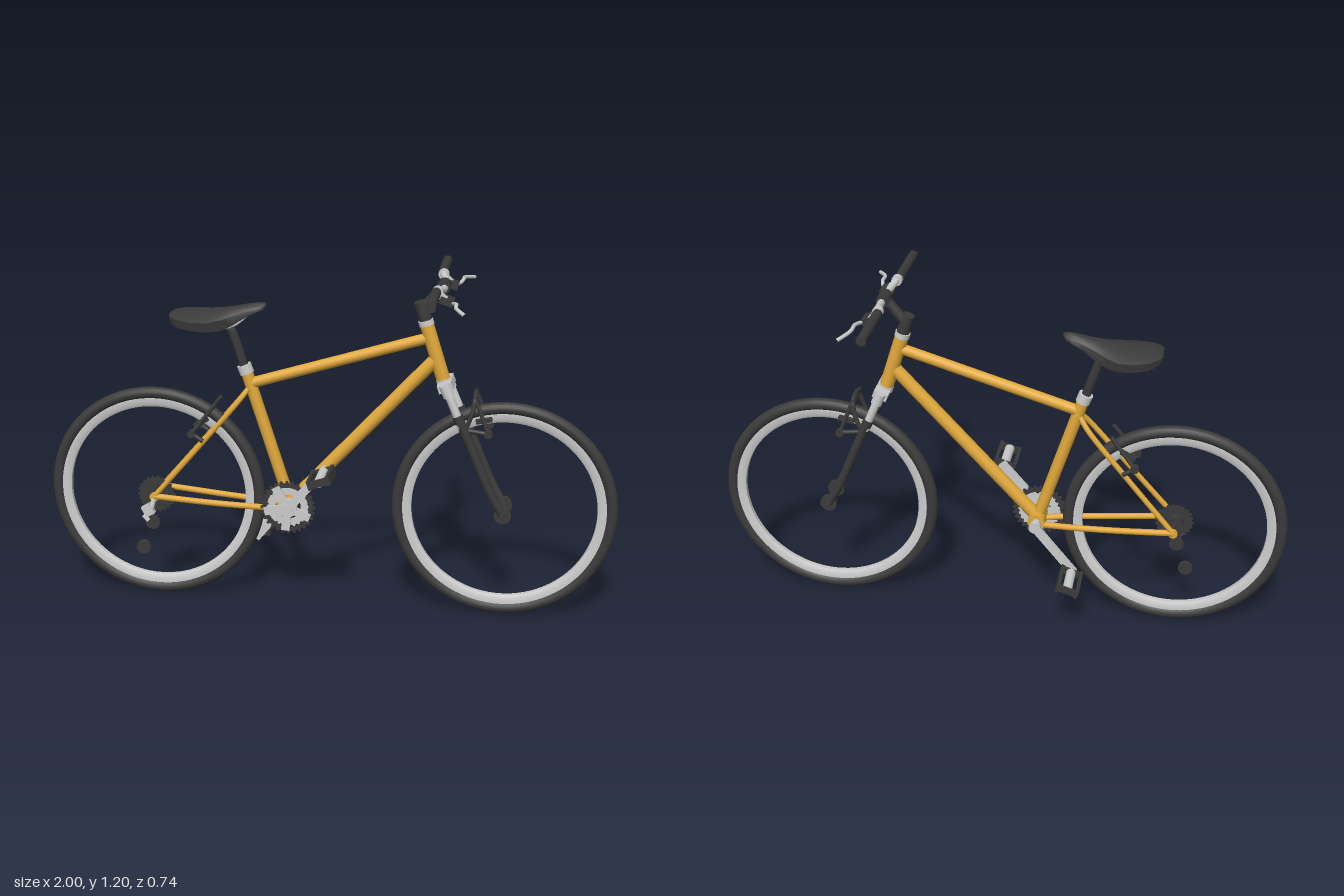
import * as THREE from 'three';
import { mergeVertices, toCreasedNormals } from 'three/addons/utils/BufferGeometryUtils.js';

const V = (x, y, z) => new THREE.Vector3(x, y, z);
const mat = (color) => new THREE.MeshStandardMaterial({ color });

export function createModel() {
  const root = new THREE.Group();
  const gold = mat(0xe0a83a), dark = mat(0x3a3a3a), grey = mat(0xcccccc);

  const add = (name, geo, m, parent = root) => {
    const mesh = new THREE.Mesh(geo, m);
    mesh.name = name;
    parent.add(mesh);
    return mesh;
  };
  // Straight round tube between two points
  const rod = (name, a, b, r, m, r2 = r, parent = root) => {
    const mesh = add(name, new THREE.CylinderGeometry(r2, r, a.distanceTo(b), 20), m, parent);
    mesh.position.copy(a).add(b).multiplyScalar(0.5);
    mesh.quaternion.setFromUnitVectors(V(0, 1, 0), b.clone().sub(a).normalize());
    return mesh;
  };
  const bend = (name, pts, r, m, parent = root) =>
    add(name, new THREE.TubeGeometry(new THREE.CatmullRomCurve3(pts, false, 'centripetal'), 32, r, 10), m, parent);
  const box = (name, w, h, d, x, y, z, m, tilt = 0, parent = root) => {
    const mesh = add(name, new THREE.BoxGeometry(w, h, d), m, parent);
    mesh.position.set(x, y, z);
    mesh.rotation.z = tilt;
    return mesh;
  };
  // Disc lying in the xy plane
  const disc = (name, x, y, z, r, t, m) => rod(name, V(x, y, z - t / 2), V(x, y, z + t / 2), r, m);
  // Toothed ring with a bore, thickness along z
  const gear = (name, x, y, z, r, tooth, teeth, bore, t, m) => {
    const s = new THREE.Shape();
    for (let i = 0; i < teeth * 4; i++) {
      const a = (i / (teeth * 4)) * Math.PI * 2, q = i % 4 < 2 ? r : r - tooth;
      s[i ? 'lineTo' : 'moveTo'](q * Math.cos(a), q * Math.sin(a));
    }
    s.holes.push(new THREE.Path().absarc(0, 0, bore, 0, Math.PI * 2, true));
    add(name, new THREE.ExtrudeGeometry(s, { depth: t, bevelEnabled: false, curveSegments: 24 }), m)
      .position.set(x, y, z - t / 2);
  };

  // Wheels
  const rimProfile = [[0.319, -0.008], [0.330, -0.014], [0.350, -0.014], [0.350, 0.014], [0.330, 0.014], [0.319, 0.008], [0.319, -0.008]]
    .map(([r, h]) => new THREE.Vector2(r, h));
  for (const [side, x] of [['rear', -0.612], ['front', 0.612]]) {
    add(side + 'Tire', new THREE.TorusGeometry(0.367, 0.021, 16, 96), dark).position.set(x, 0.39, 0);
    const rim = add(side + 'Rim', toCreasedNormals(new THREE.LatheGeometry(rimProfile, 96), 0.5), grey);
    rim.position.set(x, 0.39, 0);
    rim.rotation.x = Math.PI / 2;
    rod(side + 'Axle', V(x, 0.39, -0.06), V(x, 0.39, 0.06), 0.009, dark);
  }

  // Frame
  const bb = V(-0.135, 0.375, 0);
  rod('seatTube', bb, V(-0.285, 0.855, 0), 0.021, gold);
  rod('topTube', V(-0.272, 0.806, 0), V(0.337, 0.99, 0), 0.019, gold);
  rod('downTube', bb, V(0.362, 0.915, 0), 0.023, gold);
  rod('headTube', V(0.392, 0.85, 0), V(0.333, 1.035, 0), 0.024, gold);
  rod('bottomBracket', V(bb.x, bb.y, -0.042), V(bb.x, bb.y, 0.042), 0.03, gold);
  rod('headsetTop', V(0.333, 1.035, 0), V(0.328, 1.052, 0), 0.026, grey);
  rod('headsetBottom', V(0.398, 0.832, 0), V(0.392, 0.852, 0), 0.026, grey);
  for (const s of [-1, 1]) {
    bend('seatStay', [V(-0.275, 0.79, s * 0.015), V(-0.31, 0.745, s * 0.034), V(-0.45, 0.58, s * 0.047), V(-0.612, 0.392, s * 0.058)], 0.0095, gold);
    bend('chainStay', [V(-0.14, 0.358, s * 0.022), V(-0.24, 0.365, s * 0.036), V(-0.4, 0.375, s * 0.048), V(-0.612, 0.392, s * 0.058)], 0.011, gold);
    disc('rearDropout', -0.612, 0.39, s * 0.058, 0.016, 0.012, gold);
  }

  // Seat post and clamp
  rod('seatClamp', V(-0.281, 0.842, 0), V(-0.292, 0.872, 0), 0.025, grey);
  bend('seatPost', [V(-0.287, 0.855, 0), V(-0.322, 0.965, 0), V(-0.332, 0.99, 0), V(-0.352, 1.01, 0)], 0.016, dark);
  box('saddleClamp', 0.06, 0.025, 0.05, -0.355, 1.015, 0, dark, 0.1);
  for (const s of [-1, 1])
    bend('saddleRail', [V(-0.5, 1.025, s * 0.04), V(-0.42, 1.008, s * 0.025), V(-0.33, 1.01, s * 0.022), V(-0.25, 1.07, s * 0.008)], 0.005, grey);

  // Saddle: arched cross-sections [x, half width, top, edge, bottom]
  const stations = [
    [-0.541, 0.035, 1.05, 1.045, 1.036], [-0.53, 0.06, 1.057, 1.043, 1.022], [-0.5, 0.084, 1.062, 1.04, 1.012],
    [-0.45, 0.096, 1.063, 1.036, 1.006], [-0.4, 0.09, 1.066, 1.035, 1.002], [-0.36, 0.068, 1.07, 1.04, 1.002],
    [-0.32, 0.045, 1.077, 1.05, 1.018], [-0.28, 0.031, 1.085, 1.063, 1.043], [-0.24, 0.025, 1.092, 1.075, 1.062],
    [-0.22, 0.018, 1.093, 1.081, 1.07], [-0.211, 0.008, 1.09, 1.084, 1.077]];
  const pos = [], idx = [], n = 20;
  stations.forEach(([x, w, top, edge, bot]) => {
    for (let j = 0; j < n; j++) {
      const over = j < n / 2, u = over ? j / (n / 2 - 1) : (n - 1 - j) / (n / 2 - 1);
      const c = Math.cos(u * Math.PI), lift = 1 - c * c;
      pos.push(x, over ? edge + (top - edge) * lift : bot + (top - bot) * 0.5 * lift, w * c * (over ? 1 : 0.95));
    }
  });
  for (let i = 0; i < stations.length - 1; i++)
    for (let j = 0; j < n; j++) {
      const a = i * n + j, b = i * n + (j + 1) % n;
      idx.push(a, a + n, b, b, a + n, b + n);
    }
  const last = (stations.length - 1) * n;
  for (let j = 1; j < n - 1; j++) idx.push(0, j, j + 1, last, last + j + 1, last + j);
  const shell = new THREE.BufferGeometry();
  shell.setAttribute('position', new THREE.Float32BufferAttribute(pos, 3));
  shell.setIndex(idx);
  const saddleMat = mat(0x3a3a3a);
  saddleMat.side = THREE.DoubleSide;
  add('saddle', toCreasedNormals(mergeVertices(shell), 0.9), saddleMat);

  // Stem and handlebar
  rod('stemQuill', V(0.329, 1.05, 0), V(0.308, 1.115, 0), 0.022, dark);
  rod('stemArm', V(0.316, 1.085, 0), V(0.385, 1.17, 0), 0.019, dark, 0.017);
  disc('stemClamp', 0.387, 1.171, 0, 0.022, 0.045, dark);
  const bar = [[-0.36, 0.372, 1.181], [-0.16, 0.374, 1.181], [-0.125, 0.377, 1.181], [-0.065, 0.388, 1.17]].map(([z, x, y]) => V(x, y, z));
  bend('handlebar', [...bar, ...bar.map((p) => V(p.x, p.y, -p.z)).reverse()], 0.0125, grey);
  for (const s of [-1, 1]) {
    rod('grip', V(0.372, 1.181, s * 0.155), V(0.372, 1.181, s * 0.37), 0.0165, dark);
    disc('barCollar', 0.389, 1.169, s * 0.03, 0.02, 0.008, dark);
    disc('leverClamp', 0.376, 1.18, s * 0.135, 0.018, 0.02, grey);
    box('leverBody', 0.045, 0.022, 0.06, 0.405, 1.15, s * 0.125, dark, -0.35);
    box('leverMount', 0.03, 0.02, 0.025, 0.39, 1.163, s * 0.135, grey, -0.7);
    bend('brakeLever', [V(0.4, 1.143, s * 0.11), V(0.432, 1.147, s * 0.16), V(0.44, 1.152, s * 0.19), V(0.442, 1.15, s * 0.235), V(0.473, 1.14, s * 0.292)], 0.0065, grey);
  }

  // Suspension fork
  box('forkCrown', 0.05, 0.028, 0.12, 0.403, 0.835, 0, grey, 0.35);
  for (const s of [-1, 1]) {
    rod('crownCap', V(0.417, 0.805, s * 0.058), V(0.399, 0.846, s * 0.058), 0.019, grey);
    rod('stanchion', V(0.462, 0.70, s * 0.058), V(0.405, 0.835, s * 0.058), 0.014, grey);
    bend('forkLeg', [V(0.45, 0.735, s * 0.058), V(0.5, 0.62, s * 0.059), V(0.565, 0.47, s * 0.057), V(0.61, 0.39, s * 0.052)], 0.0155, dark);
    rod('forkSeal', V(0.457, 0.715, s * 0.058), V(0.447, 0.74, s * 0.058), 0.018, dark);
    disc('frontDropout', 0.61, 0.39, s * 0.052, 0.03, 0.016, dark);
    disc('axleNut', 0.61, 0.39, s * 0.065, 0.012, 0.014, dark);
  }
  bend('forkBrace', [V(0.475, 0.69, -0.058), V(0.498, 0.76, -0.052), V(0.503, 0.8, -0.04), V(0.503, 0.8, 0.04), V(0.498, 0.76, 0.052), V(0.475, 0.69, 0.058)], 0.008, dark);

  // Rim brakes: [lower pivot, upper end, pad centre, mounting point]
  for (const [side, lo, hi, pad, mount] of [
    ['front', [0.552, 0.68], [0.502, 0.805], [0.535, 0.718], [0.478, 0.69]],
    ['rear', [-0.47, 0.632], [-0.385, 0.74], [-0.443, 0.665], [-0.43, 0.605]]])
    for (const s of [-1, 1]) {
      rod(side + 'BrakeArm', V(...lo, s * 0.056), V(...hi, s * 0.044), 0.007, dark);
      rod(side + 'BrakeBoss', V(...mount, s * 0.056), V(...lo, s * 0.056), 0.008, dark);
      disc(side + 'BrakePivot', ...lo, s * 0.056, 0.014, 0.02, dark);
      box(side + 'BrakePad', 0.055, 0.014, 0.018, ...pad, s * 0.027, dark, side === 'front' ? 0.2 : 0.5);
      rod(side + 'PadPost', V(...pad, s * 0.025), V(...pad, s * 0.055), 0.005, dark);
    }

  // Chainring, spider and cassette
  gear('chainring', bb.x, bb.y, 0.05, 0.097, 0.01, 28, 0.074, 0.008, dark);
  gear('innerRing', bb.x, bb.y, 0.042, 0.075, 0.006, 24, 0.045, 0.005, grey);
  disc('spiderHub', bb.x, bb.y, 0.054, 0.034, 0.016, grey);
  for (let i = 0; i < 5; i++) {
    const a = 0.84 + (i * Math.PI * 2) / 5;
    box('spiderArm', 0.08, 0.03, 0.008, bb.x + 0.045 * Math.cos(a), bb.y + 0.045 * Math.sin(a), 0.054, grey, a);
  }
  for (let i = 0; i < 5; i++) gear('sprocket', -0.612, 0.39, 0.026 + i * 0.0055, 0.068 - i * 0.007, 0.007, 22 - i * 2, 0.01, 0.003, dark);
  rod('cassetteCore', V(-0.612, 0.39, 0.0), V(-0.612, 0.39, 0.052), 0.03, dark);

  // Rear derailleur
  disc('guidePulley', -0.625, 0.288, 0.042, 0.026, 0.011, dark);
  disc('tensionPulley', -0.662, 0.19, 0.042, 0.026, 0.011, dark);
  rod('derailleurHanger', V(-0.612, 0.385, 0.064), V(-0.622, 0.345, 0.072), 0.009, grey);
  box('derailleurBody', 0.034, 0.04, 0.022, -0.632, 0.345, 0.072, grey, 0.5);
  rod('derailleurArm', V(-0.65, 0.325, 0.074), V(-0.632, 0.305, 0.074), 0.008, grey);

  // Cranks and pedals
  rod('crankAxle', V(bb.x, bb.y, -0.078), V(bb.x, bb.y, 0.075), 0.015, grey);
  for (const [s, px, py] of [[1, -0.002, 0.528], [-1, -0.268, 0.212]]) {
    const dx = px - bb.x, dy = py - bb.y;
    box('crankArm', Math.hypot(dx, dy) + 0.025, 0.03, 0.014, bb.x + dx / 2, bb.y + dy / 2, s * 0.073, grey, Math.atan2(dy, dx));
    disc('crankBoss', bb.x, bb.y, s * 0.073, 0.021, 0.017, grey);
    const pedal = new THREE.Group();
    pedal.name = 'pedal';
    pedal.position.set(px, py, s * 0.145);
    pedal.rotation.z = -0.32 * -1;
    root.add(pedal);
    rod('pedalSpindle', V(0, 0, -0.07), V(0, 0, 0.062), 0.009, grey, 0.009, pedal).position.z = s * -0.01;
    rod('pedalBarrel', V(0, 0, -0.055), V(0, 0, 0.055), 0.017, grey, 0.017, pedal);
    for (const e of [-1, 1]) {
      box('pedalRail', 0.012, 0.032, 0.125, e * 0.034, 0, 0, dark, 0, pedal);
      box('pedalEnd', 0.07, 0.026, 0.007, 0, 0, e * 0.058, dark, 0, pedal);
    }
  }
  return root;
}
